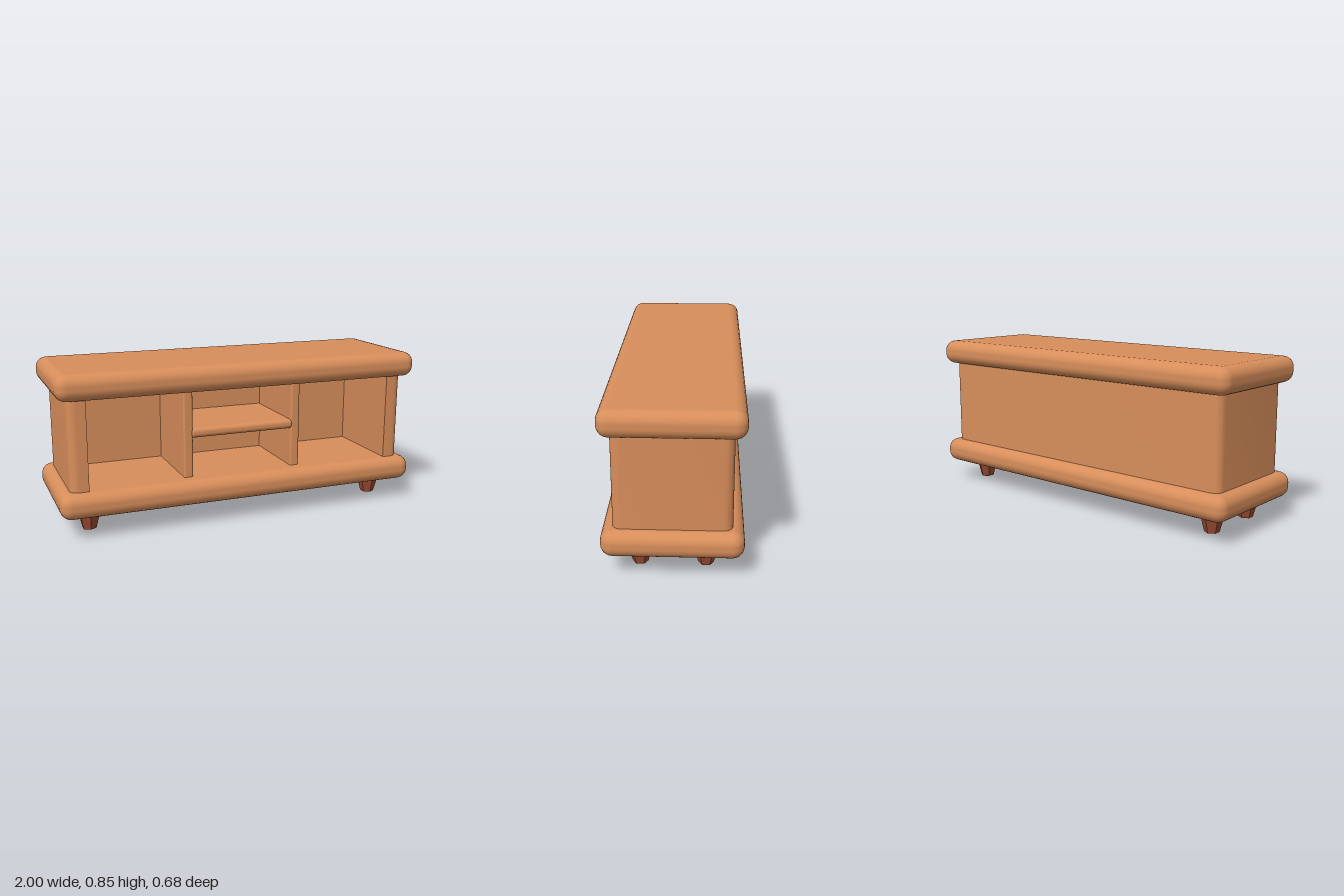
import * as THREE from 'three';
import { toCreasedNormals } from 'three/addons/utils/BufferGeometryUtils.js';
import { RoundedBoxGeometry } from 'three/addons/geometries/RoundedBoxGeometry.js';

export function createModel() {
  const model = new THREE.Group();
  model.name = 'mediaCabinet';
  const wood = new THREE.MeshStandardMaterial({ color: 0xd88e5b });
  wood.name = 'lightWood';
  const legWood = new THREE.MeshStandardMaterial({ color: 0x9a4a33, flatShading: true });
  legWood.name = 'darkWood';

  function add(name, geometry, material, x = 0, y = 0, z = 0) {
    const mesh = new THREE.Mesh(geometry, material);
    mesh.name = name;
    mesh.position.set(x, y, z);
    model.add(mesh);
  }

  // Rounded box given by its limits on each axis
  function board(name, [x0, x1], [y0, y1], [z0, z1], radius) {
    add(name, new RoundedBoxGeometry(x1 - x0, y1 - y0, z1 - z0, 3, radius), wood,
      (x0 + x1) / 2, (y0 + y1) / 2, (z0 + z1) / 2);
  }

  // Thick base and top slabs
  board('baseSlab', [-1, 1], [0.113, 0.248], [-0.338, 0.338], 0.058);
  board('topSlab', [-1, 1], [0.715, 0.85], [-0.338, 0.338], 0.058);

  // Side walls and back in one U-shaped plan, rounded at the outer corners
  const w = 0.942, d = 0.283, r = 0.045, innerX = 0.848, innerZ = -0.19;
  const plan = new THREE.Shape();
  plan.moveTo(-innerX, -d);
  plan.lineTo(-innerX, -innerZ);
  plan.lineTo(innerX, -innerZ);
  plan.lineTo(innerX, -d);
  plan.lineTo(w - r, -d);
  plan.absarc(w - r, -d + r, r, -Math.PI / 2, 0);
  plan.absarc(w - r, d - r, r, 0, Math.PI / 2);
  plan.absarc(-w + r, d - r, r, Math.PI / 2, Math.PI);
  plan.absarc(-w + r, -d + r, r, Math.PI, Math.PI * 1.5);
  plan.closePath();
  const walls = new THREE.ExtrudeGeometry(plan, { depth: 0.5, bevelEnabled: false, curveSegments: 6 });
  walls.rotateX(-Math.PI / 2);
  add('sideAndBackWalls', toCreasedNormals(walls, 0.6), wood, 0, 0.23, 0);

  // Two upright dividers with the shelf between them
  board('leftDivider', [0.28, 0.332], [0.2, 0.76], [-0.23, 0.24], 0.012);
  board('rightDivider', [-0.335, -0.283], [0.2, 0.76], [-0.23, 0.24], 0.012);
  board('middleShelf', [-0.297, 0.293], [0.458, 0.51], [-0.23, 0.245], 0.022);

  // Six-sided tapered legs with a slightly pointed foot
  const profile = [[0, 0], [0.038, 0.011], [0.066, 0.12]].map(([x, y]) => new THREE.Vector2(x, y));
  const leg = new THREE.LatheGeometry(profile, 6);
  for (const x of [-0.833, 0.827]) {
    for (const z of [-0.158, 0.16]) {
      add(`${z > 0 ? 'front' : 'back'}${x > 0 ? 'Left' : 'Right'}Leg`, leg, legWood, x, 0, z);
    }
  }
  return model;
}
